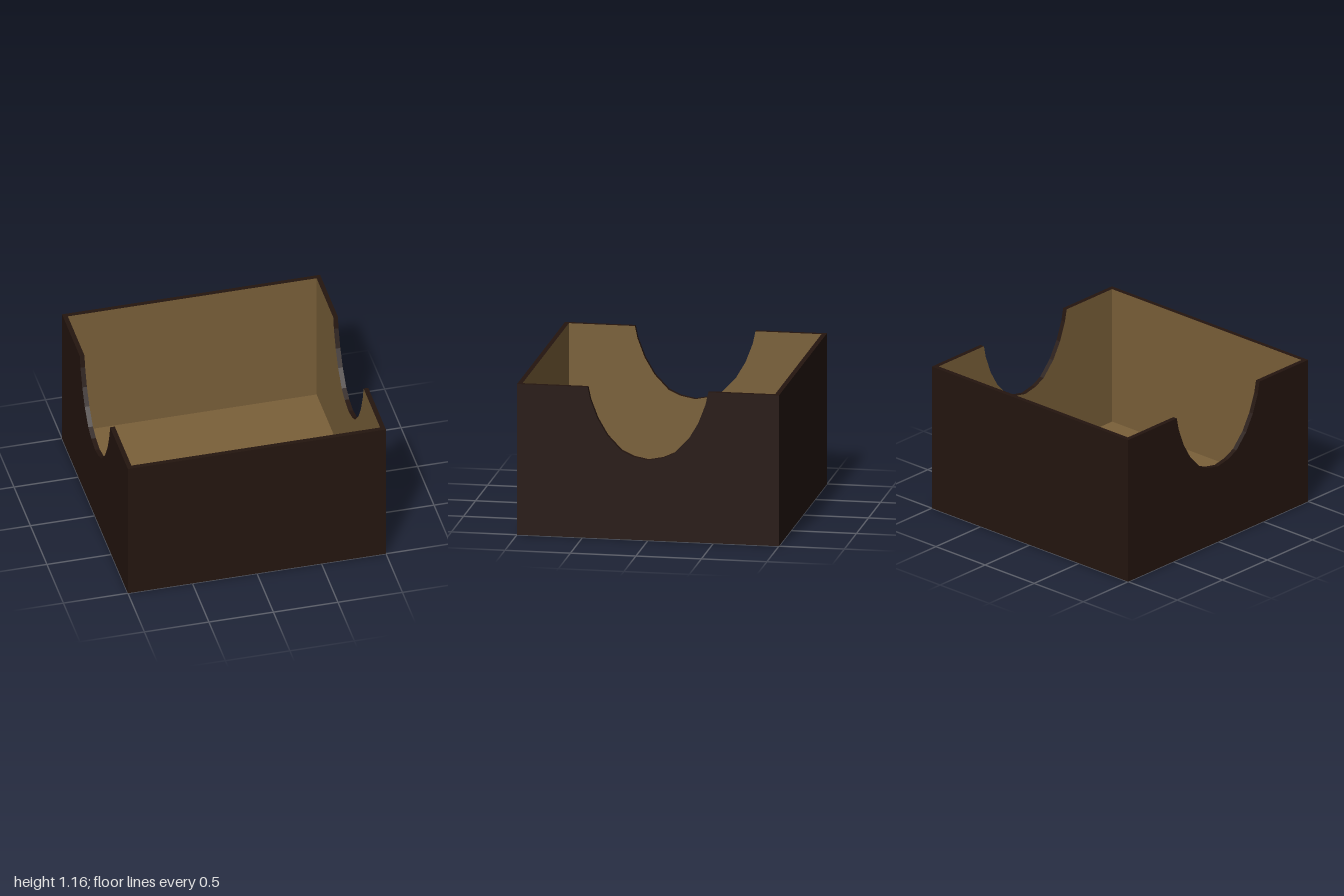
import * as THREE from 'three';

const H = 1.165;      // overall height
const T = 0.036;      // wall thickness
const FLOOR = 0.075;  // floor thickness

// Half of the hand notch, from the rim down to its lowest point: [z, y]
const NOTCH = [[0.46, H], [0.44, 1.07], [0.385, 0.925], [0.31, 0.797], [0.203, 0.684], [0.112, 0.642], [0, 0.62]];

const outer = new THREE.MeshStandardMaterial({ color: 0x24150f });
const inner = new THREE.MeshStandardMaterial({ color: 0x7a6039 });

function addMesh(parent, name, geometry, material) {
  const mesh = new THREE.Mesh(geometry, material);
  mesh.name = name;
  parent.add(mesh);
  return mesh;
}

// Side wall with a rounded notch; its face at z = 0 is the lined inside
function notchedWallGeometry() {
  const left = NOTCH.slice(0, -1).map(([z, y]) => [-z, y]).reverse();
  const outline = [[-1, 0], [1, 0], [1, H], ...NOTCH, ...left, [-1, H]];
  const shape = new THREE.Shape(outline.map(([x, y]) => new THREE.Vector2(x, y)));
  const geometry = new THREE.ExtrudeGeometry(shape, { depth: T, bevelEnabled: false });
  const [caps, edges] = geometry.groups;
  const half = caps.count / 2;
  geometry.clearGroups();
  geometry.addGroup(0, half, 1);
  geometry.addGroup(half, half, 0);
  geometry.addGroup(edges.start, edges.count, 0);
  return geometry;
}

export function createModel() {
  const box = new THREE.Group();
  box.name = 'openBox';
  const inside = 2 - 2 * T;

  // Floor, lined on top
  const floor = addMesh(box, 'floor', new THREE.BoxGeometry(inside, FLOOR, inside),
    [outer, outer, inner, outer, outer, outer]);
  floor.position.y = FLOOR / 2;

  for (const s of [1, -1]) {
    // Plain front and back walls, lined on the inward face
    const wall = addMesh(box, s > 0 ? 'frontWall' : 'backWall', new THREE.BoxGeometry(inside, H, T),
      [outer, outer, outer, outer, s > 0 ? outer : inner, s > 0 ? inner : outer]);
    wall.position.set(0, H / 2, s * (1 - T / 2));

    // Notched left and right walls
    const side = addMesh(box, s > 0 ? 'leftWall' : 'rightWall', notchedWallGeometry(), [outer, inner]);
    side.rotation.y = s * Math.PI / 2;
    side.position.x = s * (1 - T);
  }
  return box;
}
